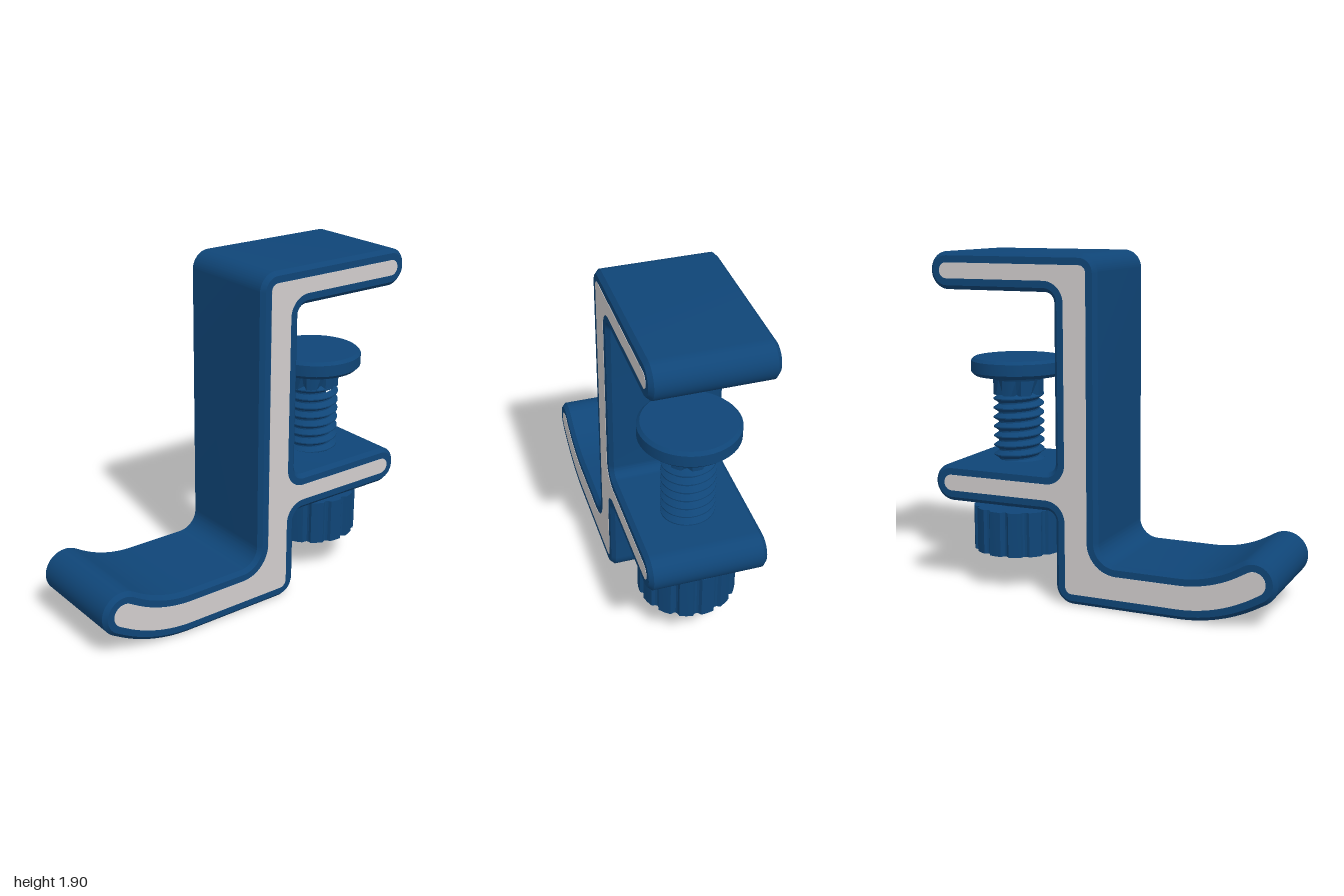
import * as THREE from 'three';
import { toCreasedNormals } from 'three/addons/utils/BufferGeometryUtils.js';

const DEPTH = 0.63;
const SCREW_X = 0.63;

// Hook outline as arcs joined by straight lines, counter-clockwise:
// centre x, centre y, radius, start and end angle in degrees (falling angle = inside corner)
const ARCS = [
  [0.15, 0.1, 0.1, -90, 0],           // bottom corner
  [0.305, 0.455, 0.055, 180, 90],     // under the lower arm
  [0.895, 0.615, 0.105, -90, 90],     // lower arm tip
  [0.305, 0.775, 0.055, -90, -180],   // over the lower arm
  [0.305, 1.64, 0.055, 180, 90],      // under the upper arm
  [0.895, 1.797, 0.103, -90, 90],     // upper arm tip
  [0.1, 1.8, 0.1, 90, 180],           // top corner
  [-0.11, 0.36, 0.11, 0, -90],        // inside of the hook
  [-0.459, 0.87, 0.62, -90, -120],    // upper curve of the hook
  [-0.875, 0.25, 0.125, 60, 240],     // hook tip
  [-0.459, 0.87, 0.87, 240, 270],     // lower curve of the hook
];

// The outline moved inwards by d
function outline(d) {
  const shape = new THREE.Shape();
  for (const [x, y, r, a, b] of ARCS) {
    const inside = b < a;
    shape.absarc(x, y, inside ? r + d : r - d,
      THREE.MathUtils.degToRad(a), THREE.MathUtils.degToRad(b), inside);
  }
  shape.closePath();
  return shape;
}

export function createModel() {
  const blue = new THREE.MeshStandardMaterial({ color: 0x0f4577 });
  blue.name = 'deep blue';
  const grey = new THREE.MeshStandardMaterial({ color: 0xd0cccc });
  grey.name = 'light grey';

  const model = new THREE.Group();
  model.name = 'clampHook';

  function add(parent, name, geometry, material, crease = 0.6) {
    const mesh = new THREE.Mesh(toCreasedNormals(geometry, crease), material);
    mesh.name = name;
    parent.add(mesh);
    return mesh;
  }

  // Chamfered hook body
  const bevel = 0.022;
  const body = new THREE.ExtrudeGeometry(outline(bevel), {
    depth: DEPTH - 2 * bevel, bevelThickness: bevel, bevelSize: bevel,
    bevelSegments: 1, curveSegments: 14,
  });
  body.translate(0, 0, bevel - DEPTH / 2);
  add(model, 'hookBody', body, blue);

  // Thin inlays on both sides
  for (const [name, z] of [['frontInlay', DEPTH / 2 - 0.002], ['backInlay', -DEPTH / 2 - 0.002]]) {
    const plate = new THREE.ExtrudeGeometry(outline(0.06), {
      depth: 0.004, bevelEnabled: false, curveSegments: 14,
    });
    add(model, name, plate, grey).position.z = z;
  }

  const screw = new THREE.Group();
  screw.name = 'clampScrew';
  screw.position.x = SCREW_X;
  model.add(screw);

  // Knob with grip grooves
  const knobShape = new THREE.Shape();
  const lobes = 14;
  const grip = [[0, 0.265], [0.3, 0.265], [0.6, 0.265], [0.7, 0.25], [0.8, 0.245], [0.9, 0.25]];
  const knobPoints = [];
  for (let i = 0; i < lobes; i++) {
    for (const [t, r] of grip) {
      const a = ((i + t) / lobes) * Math.PI * 2;
      knobPoints.push(new THREE.Vector2(r * Math.cos(a), r * Math.sin(a)));
    }
  }
  knobShape.setFromPoints(knobPoints);
  const knob = new THREE.ExtrudeGeometry(knobShape, { depth: 0.255, bevelEnabled: false });
  knob.rotateX(-Math.PI / 2);
  add(screw, 'knob', knob, blue, 0.3).position.y = 0.2;

  // Thread: a ridged lathe sheared by one pitch per turn
  const pitch = 0.0535;
  const profile = [];
  for (let i = 0; i < 12; i++) {
    const y = 0.43 + i * pitch;
    profile.push(
      new THREE.Vector2(0.115, y), new THREE.Vector2(0.115, y + pitch * 0.15),
      new THREE.Vector2(0.144, y + pitch * 0.52), new THREE.Vector2(0.144, y + pitch * 0.63));
  }
  profile.push(new THREE.Vector2(0.115, 0.43 + 12 * pitch));
  const thread = new THREE.LatheGeometry(profile, 36);
  const pos = thread.attributes.position;
  for (let i = 0; i < pos.count; i++) {
    const turn = Math.floor(i / profile.length) / 36;
    pos.setY(i, pos.getY(i) + turn * pitch);
  }
  add(screw, 'thread', thread, blue, 0.5);

  // Neck with tapering notches cut up from its lower rim
  const neck = new THREE.CylinderGeometry(0.143, 0.143, 0.09, 32);
  const np = neck.attributes.position;
  for (let i = 0; i < np.count; i++) {
    const x = np.getX(i), z = np.getZ(i);
    const step = Math.round((Math.atan2(x, z) / (Math.PI * 2)) * 32 + 32);
    if (np.getY(i) < 0 && Math.hypot(x, z) > 0.1 && step % 4 === 2) {
      np.setX(i, x * 0.8);
      np.setZ(i, z * 0.8);
    }
  }
  add(screw, 'neck', neck, blue, 0.25).position.y = 1.14;

  // Pressure pad
  const pad = [
    [0, 1.18], [0.143, 1.18], [0.15, 1.195], [0.17, 1.205], [0.245, 1.205],
    [0.265, 1.225], [0.265, 1.288], [0.248, 1.305], [0, 1.305],
  ].map(([r, y]) => new THREE.Vector2(r, y));
  add(screw, 'pressurePad', new THREE.LatheGeometry(pad, 48), blue);

  return model;
}
